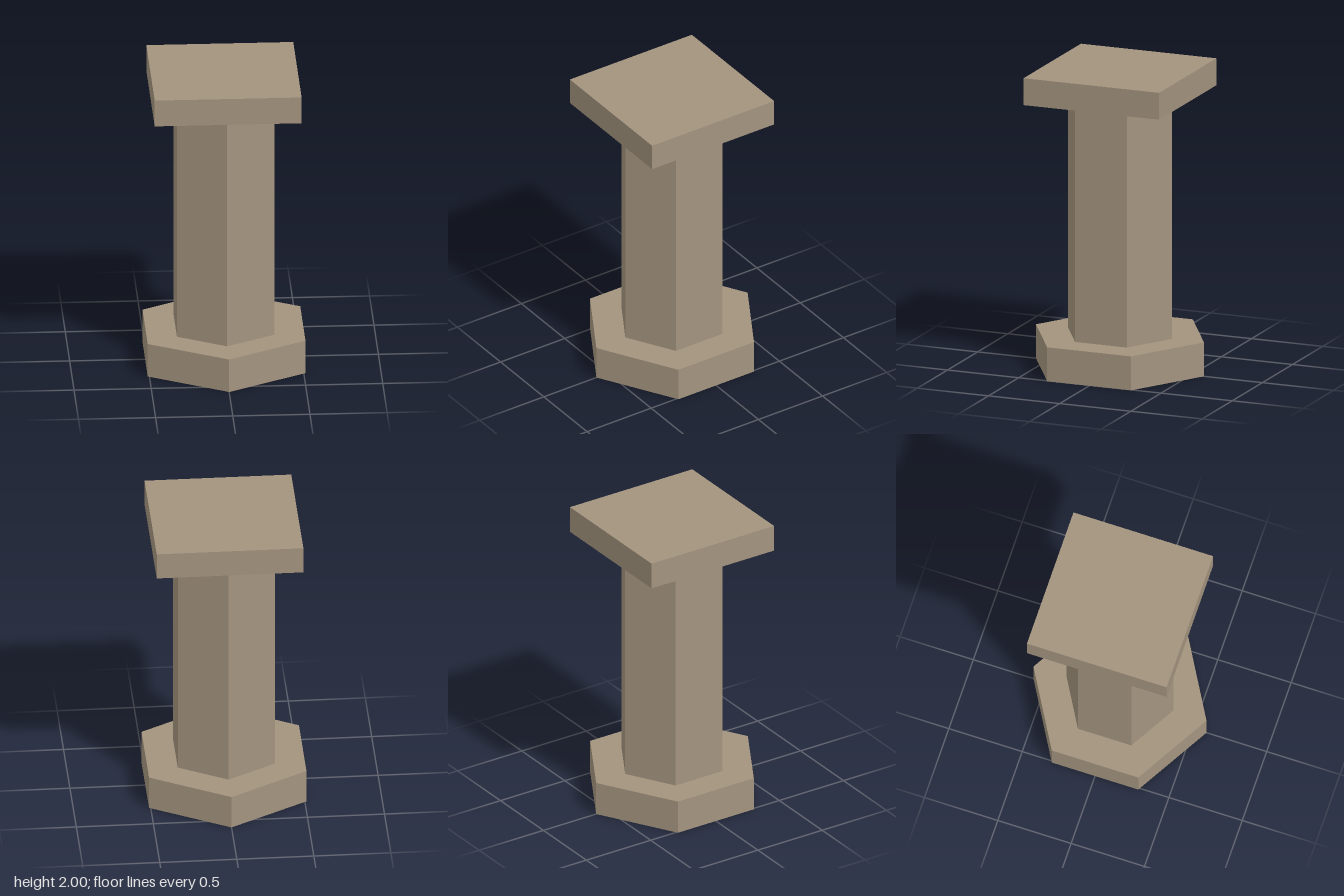
import * as THREE from 'three';

export function createModel() {
  const group = new THREE.Group();
  const stone = new THREE.MeshStandardMaterial({ color: 0xa3937e, flatShading: true });

  const add = (name, geometry, bottom, top) => {
    const mesh = new THREE.Mesh(geometry, stone);
    mesh.name = name;
    mesh.position.y = (bottom + top) / 2;
    group.add(mesh);
  };
  // Six-sided prism with corners pointing to the front and back
  const hexPrism = (radius, height) => new THREE.CylinderGeometry(radius, radius, height, 6);

  add('base', hexPrism(0.59, 0.227), 0, 0.227);
  add('shaft', hexPrism(0.364, 1.593), 0.227, 1.82);
  add('capital', new THREE.BoxGeometry(0.952, 0.18, 0.952), 1.82, 2);

  return group;
}
